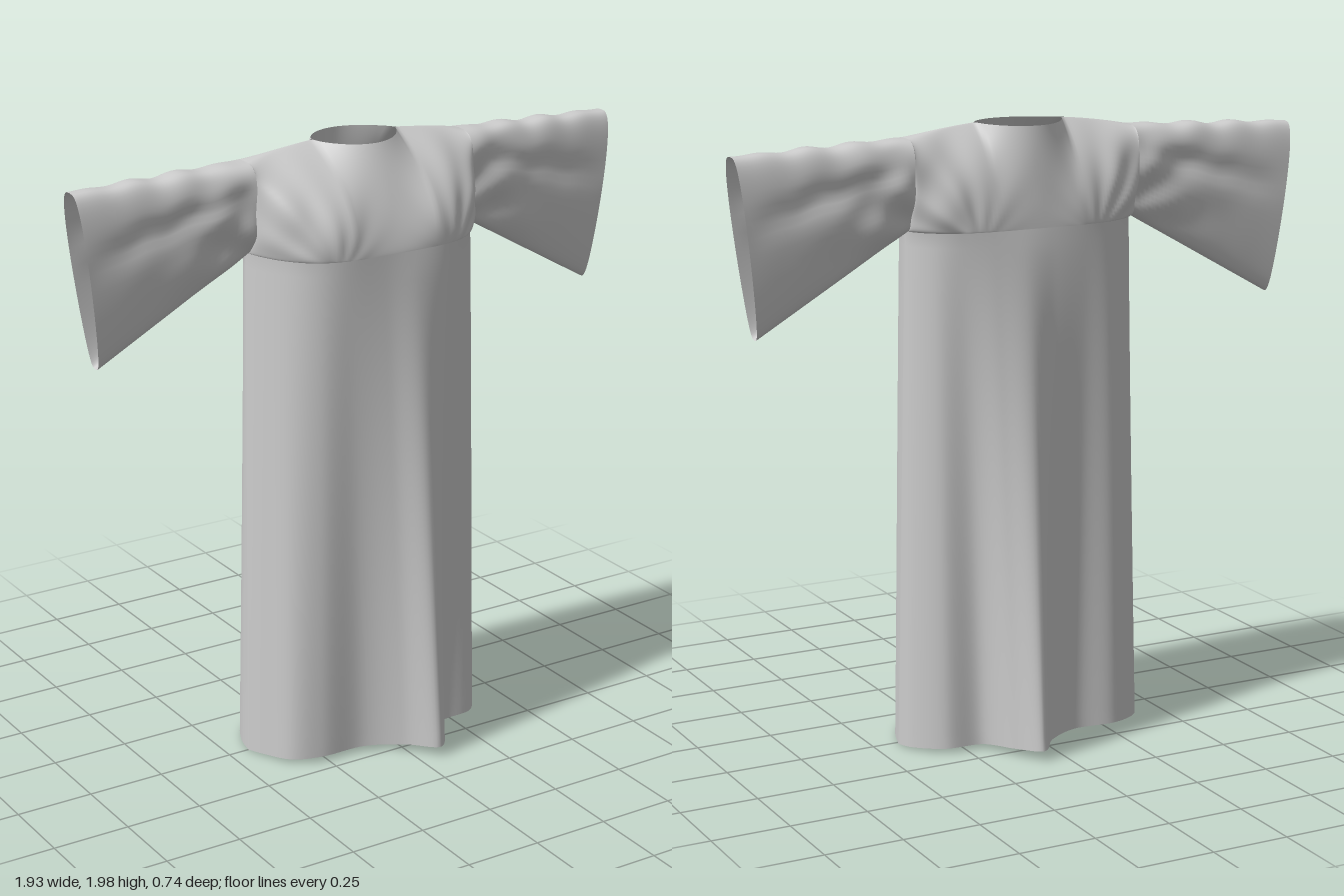
import * as THREE from 'three';
import { mergeVertices } from 'three/addons/utils/BufferGeometryUtils.js';

const ARM = 0.39, CHEST_Y = 1.67, MID_Z = -0.04;
const lerp = THREE.MathUtils.lerp;
const material = new THREE.MeshStandardMaterial({ color: 0xcccccc, side: THREE.DoubleSide });

// Hem folds as x, z points from the right side seam to the left one
const curve = pts => new THREE.CatmullRomCurve3(pts.map(([x, z]) => new THREE.Vector3(x, 0.01 + 0.09 * Math.abs(z), z)));
const hemFront = curve([[-0.43, 0], [-0.41, 0.06], [-0.36, 0.16], [-0.27, 0.2], [-0.12, 0.21], [-0.01, 0.28],
  [0.07, 0.37], [0.14, 0.29], [0.2, 0.19], [0.32, 0.17], [0.39, 0.07], [0.42, -0.02]]);
const hemBack = curve([[-0.43, 0], [-0.42, -0.06], [-0.37, -0.15], [-0.27, -0.2], [-0.13, -0.19], [-0.01, -0.26],
  [0.08, -0.37], [0.14, -0.29], [0.2, -0.18], [0.32, -0.16], [0.4, -0.08], [0.42, -0.02]]);

// Half thickness of a sleeve section: rounded ends, wider towards the top
const teardrop = a => Math.pow(Math.max(0, Math.sin(a)), 0.6) * (0.62 + 0.38 * (1 - Math.cos(a)) / 2);

// Cloth wrinkles, strongest around the shoulder and fading to the cuff
function wrinkle(x, y, side) {
  const ax = Math.abs(x), d = ax - 0.42;
  const fade = Math.exp(-d * d / 0.045);
  const fan = Math.atan2(y - 1.62, ax - 0.2);
  return fade * (0.008 * Math.sin(fan * 13 + side * 1.3 + x) + 0.005 * Math.sin(ax * 34 + y * 21 + side * 2 + (x > 0 ? 1 : 0)));
}

// Front and back sheets of cloth, joined wherever their edges meet
function shell(name, point, cols, rows) {
  const pos = [], idx = [];
  for (const side of [1, -1]) {
    const base = pos.length / 3;
    for (let j = 0; j <= rows; j++)
      for (let i = 0; i <= cols; i++) pos.push(...point(i / cols, j, side));
    for (let j = 0; j < rows; j++)
      for (let i = 0; i < cols; i++) {
        const a = base + j * (cols + 1) + i, b = a + 1, c = b + cols + 1, d = a + cols + 1;
        if (side > 0) idx.push(a, b, c, a, c, d);
        else idx.push(a, c, b, a, d, c);
      }
  }
  let geo = new THREE.BufferGeometry();
  geo.setAttribute('position', new THREE.Float32BufferAttribute(pos, 3));
  geo.setIndex(idx);
  geo = mergeVertices(geo, 1e-4);
  geo.computeVertexNormals();
  const mesh = new THREE.Mesh(geo, material);
  mesh.name = name;
  return mesh;
}

// Shoulder part of the body: chest line up to the shoulder ridge or neck opening
function yokePoint(x, v, side) {
  const a = v * Math.PI, h = (1 - Math.cos(a)) / 2;
  const full = Math.pow(Math.max(0, 1 - Math.pow(Math.abs(x) / ARM, 4)), 0.7);
  const chest = side > 0 ? 0.262 : 0.15;
  const open = Math.pow(Math.max(0, 1 - (x / 0.15) ** 2), 0.75);
  const neck = 0.12 * open;
  const torso = neck + (chest - neck) * (1 - Math.pow(h, 1.3 + 1.2 * (1 - open)));
  const ridge = 1.955 + 0.04 * (1 - (x / ARM) ** 2) - 0.012 * open;
  const y = lerp(CHEST_Y, ridge, h);
  const depth = full * torso + (1 - full) * 0.095 * teardrop(a);
  return [x, y, MID_Z + side * (depth + wrinkle(x, y, side) * Math.sin(a))];
}

const SKIRT_ROWS = 36, YOKE_ROWS = 28;
function bodyPoint(t, j, side) {
  const x = ARM * Math.sin((t - 0.5) * Math.PI);
  if (j >= SKIRT_ROWS) return yokePoint(x, (j - SKIRT_ROWS) / YOKE_ROWS, side);
  // Skirt: chest outline opening into the hem folds
  const top = yokePoint(x, 0, side);
  const hem = (side > 0 ? hemFront : hemBack).getPoint(t);
  const s = 1 - j / SKIRT_ROWS;
  return [lerp(top[0], hem.x, s), lerp(top[1], hem.y, s), lerp(top[2], hem.z, Math.pow(s, 0.85))];
}

// Wide sleeve: tall narrow section growing from armhole to cuff
const SLEEVE_ROWS = 28;
function sleevePoint(dir) {
  return (t, j, side) => {
    const s = dir > 0 ? t : 1 - t, a = j / SLEEVE_ROWS * Math.PI, h = (1 - Math.cos(a)) / 2;
    const x = dir * lerp(lerp(ARM, 0.9, s), lerp(ARM, 0.965, s), h);
    const ripple = 0.006 * Math.sin(s * 23 + dir) * Math.sin(s * Math.PI) * h;
    const y = lerp(lerp(CHEST_Y, 1.38, s), lerp(1.955, 1.935, s), h) + ripple;
    const depth = lerp(0.095, 0.07, s) * teardrop(a);
    // Long diagonal crease running down from the shoulder
    const line = h - (0.72 - 0.1 * s);
    const crease = -0.016 * Math.exp(-line * line / 0.008) * Math.sin(s * Math.PI);
    const z = lerp(MID_Z, -0.06, s) + side * (depth + (wrinkle(x, y, side) + crease) * Math.sin(a));
    return [x, y, z];
  };
}

export function createModel() {
  const robe = new THREE.Group();
  robe.name = 'robe';
  robe.add(shell('body', bodyPoint, 96, SKIRT_ROWS + YOKE_ROWS));
  robe.add(shell('leftSleeve', sleevePoint(1), 40, SLEEVE_ROWS));
  robe.add(shell('rightSleeve', sleevePoint(-1), 40, SLEEVE_ROWS));
  return robe;
}
